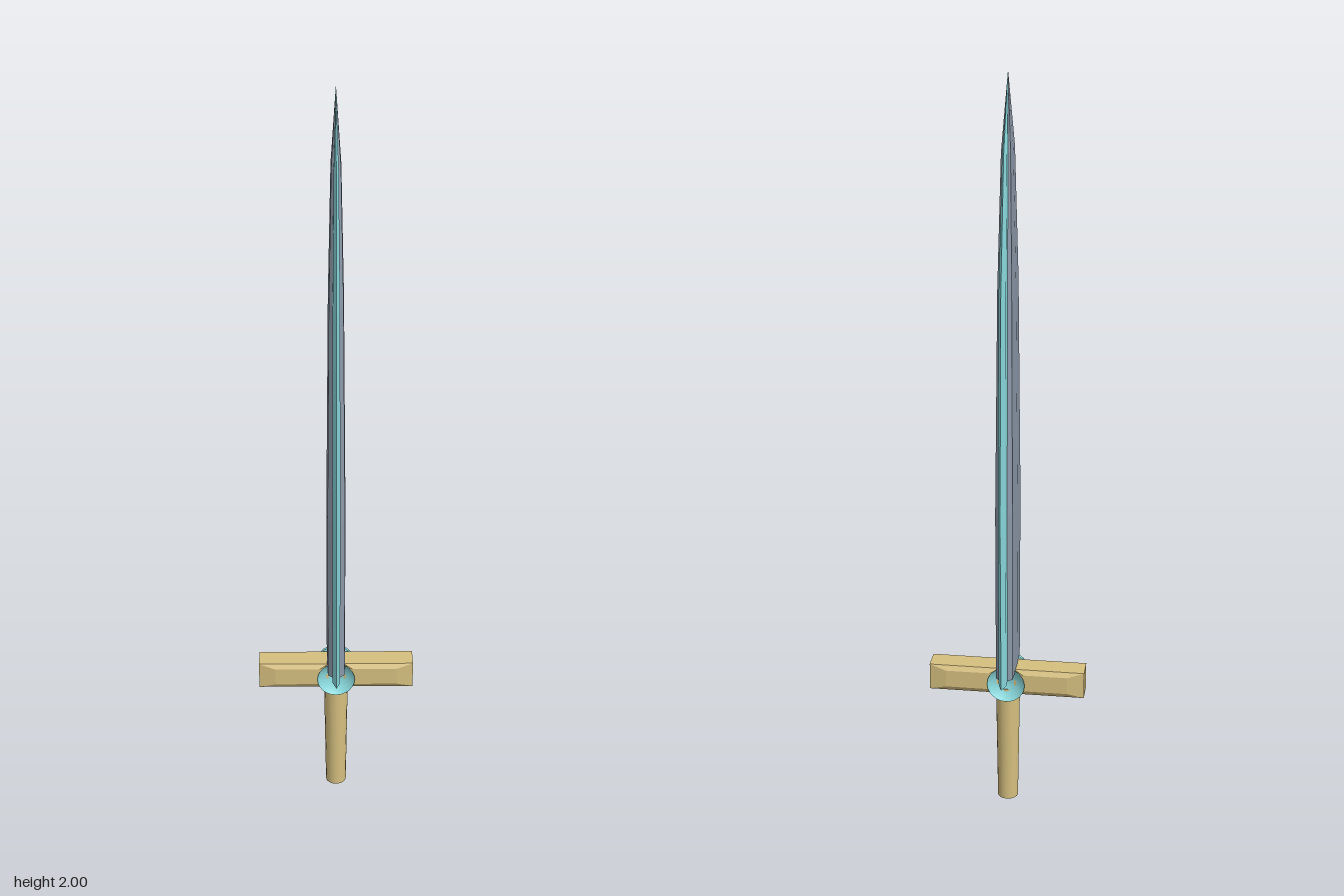
import * as THREE from 'three';

const mat = (name, color, opts = {}) => Object.assign(new THREE.MeshStandardMaterial({ color, ...opts }), { name });

// Skin rings of [x, z] points between heights, with a flat base.
function loft(heights, ringAt) {
  const pos = [];
  const rings = heights.map((y, i) => ringAt(i).map(([x, z]) => new THREE.Vector3(x, y, z)));
  const tri = (a, b, c) => {
    const area = b.clone().sub(a).cross(c.clone().sub(a)).length();
    if (area > 1e-9) for (const p of [a, b, c]) pos.push(p.x, p.y, p.z);
  };
  const n = rings[0].length;
  for (let i = 0; i < rings.length - 1; i++) {
    for (let j = 0; j < n; j++) {
      const k = (j + 1) % n;
      tri(rings[i][j], rings[i][k], rings[i + 1][k]);
      tri(rings[i][j], rings[i + 1][k], rings[i + 1][j]);
    }
  }
  for (let j = 1; j < n - 1; j++) tri(rings[0][0], rings[0][j + 1], rings[0][j]);
  const g = new THREE.BufferGeometry();
  g.setAttribute('position', new THREE.Float32BufferAttribute(pos, 3));
  g.computeVertexNormals();
  return g;
}

export function createModel() {
  const group = new THREE.Group();
  const steel = mat('steel', 0x8c98a8);
  const cyan = mat('cyanMetal', 0x8adade);
  const gold = mat('gold', 0xd6c080);
  const add = (name, geometry, material) => {
    const m = new THREE.Mesh(geometry, material);
    m.name = name;
    group.add(m);
    return m;
  };

  // Blade: broad along z, thin along x
  const heights = [0.4, 0.88, 1.47, 1.81, 2.0];
  const edgeWidth = [0.14, 0.155, 0.135, 0.08, 0];
  const edgeThick = [0.01, 0.01, 0.009, 0.006, 0];
  const coreWidth = [0.086, 0.094, 0.077, 0.048, 0];
  const coreThick = [0.025, 0.025, 0.02, 0.013, 0];

  add('bladeEdge', loft(heights, (i) => {
    const w = edgeWidth[i], t = edgeThick[i], s = w * 0.8;
    return [[t, s], [t, -s], [0, -w], [-t, -s], [-t, s], [0, w]];
  }), cyan);

  add('bladeCore', loft(heights, (i) => {
    const w = coreWidth[i], t = coreThick[i], s = w * 0.87, e = t * 0.4, f = t * 0.9;
    return [[e, w], [f, s], [t, 0], [f, -s], [e, -w], [-e, -w], [-f, -s], [-t, 0], [-f, s], [-e, w]];
  }), steel);

  // Crossguard arms: block with a raised, bevelled panel on front and back
  for (const side of [-1, 1]) {
    const arm = new THREE.BoxGeometry(0.19, 0.074, 0.076, 1, 1, 3);
    const p = arm.attributes.position;
    for (let i = 0; i < p.count; i++) {
      const z = p.getZ(i);
      if (Math.abs(z) > 0.03) {
        p.setX(i, p.getX(i) > 0 === side > 0 ? side * 0.05 : side * -0.07);
        p.setY(i, Math.sign(p.getY(i)) * 0.024);
      } else {
        p.setZ(i, Math.sign(z) * 0.03);
      }
    }
    const flat = arm.toNonIndexed();
    flat.computeVertexNormals();
    const m = add(side > 0 ? 'leftGuardArm' : 'rightGuardArm', flat, gold);
    m.position.set(side * 0.115, 0.37, 0);
  }

  // Flared spool through the guard, dished at both ends
  const profile = [
    [0, 0.026], [0.02, 0.029], [0.038, 0.037], [0.051, 0.047],
    [0.043, 0.042], [0.037, 0.035], [0.034, 0.025],
  ];
  const mirrored = profile.slice().reverse().map(([r, z]) => [r, -z]);
  const points = [...profile, ...mirrored].reverse().map(([r, z]) => new THREE.Vector2(r, z));
  const spool = add('guardSpool', new THREE.LatheGeometry(points, 24), cyan);
  spool.rotation.x = Math.PI / 2;
  spool.position.y = 0.367;

  // Grip
  const grip = add('grip', new THREE.CylinderGeometry(0.033, 0.028, 0.345, 16), gold);
  grip.position.y = 0.1725;

  return group;
}
